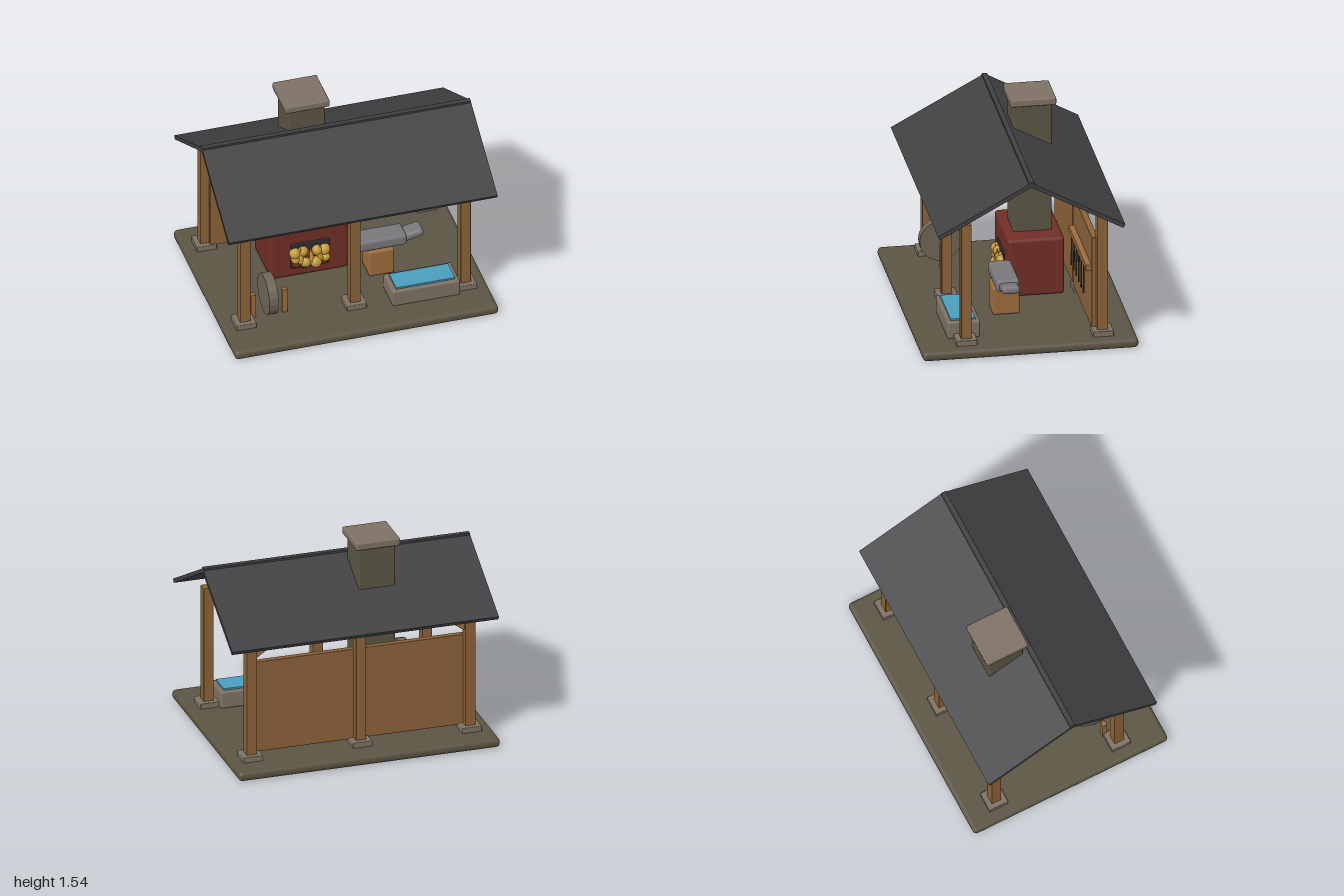
import * as THREE from 'three';
import { RoundedBoxGeometry } from 'three/addons/geometries/RoundedBoxGeometry.js';

const mat = (color, flatShading = false) => new THREE.MeshStandardMaterial({ color, flatShading });
const M = {
  slab: mat(0x5a5442), stone: mat(0x7d7163), wheel: mat(0x6e6456, true), wood: mat(0x8a6238),
  lightWood: mat(0x9c6b3c), roof: mat(0x404042), brick: mat(0x702e26), dark: mat(0x2c2a2a),
  steel: mat(0x77777b), iron: mat(0x3c3c40), water: mat(0x4a9dbd),
  ember: mat(0x7a2e1c), flame: mat(0xc49a3c),
};

export function createModel() {
  const model = new THREE.Group();

  const add = (name, geometry, material, x, y, z) => {
    const mesh = new THREE.Mesh(geometry, material);
    mesh.name = name;
    mesh.position.set(x, y, z);
    model.add(mesh);
    return mesh;
  };
  // Softened box given by its extents on each axis
  const box = (name, material, [x0, x1], [y0, y1], [z0, z1], r = 0.006) =>
    add(name, new RoundedBoxGeometry(x1 - x0, y1 - y0, z1 - z0, 2, r), material,
      (x0 + x1) / 2, (y0 + y1) / 2, (z0 + z1) / 2);

  // Ground slab
  box('floorSlab', M.slab, [-0.98, 0.98], [0, 0.07], [-0.78, 0.78], 0.03);

  // Posts with stone feet, and braces on the corner posts
  for (const z of [0.448, -0.538]) {
    for (const x of [-0.82, 0, 0.82]) {
      box('postFoot', M.stone, [x - 0.074, x + 0.074], [0, 0.11], [z - 0.075, z + 0.075]);
      box('post', M.wood, [x - 0.038, x + 0.038], [0.1, 0.99], [z - 0.038, z + 0.038], 0.003);
      if (x === 0) continue;
      const side = Math.sign(x);
      const brace = add('brace', new RoundedBoxGeometry(0.24, 0.04, 0.04, 2, 0.004),
        M.lightWood, side * 0.72, 0.915, z);
      brace.rotation.z = -side * 0.6;
    }
  }

  // Back wall panels
  for (const s of [-1, 1]) {
    const x = s * 0.41;
    box('backWall', M.wood, [x - 0.385, x + 0.385], [0.1, 0.8], [-0.515, -0.47], 0.004);
  }

  // Gable roof
  const slope = Math.atan2(0.365, 0.67);
  for (const s of [-1, 1]) {
    const slab = add('roofSlope', new THREE.BoxGeometry(2, 0.03, 0.763), M.roof, 0, 1.146, s * 0.335);
    slab.rotation.x = s * slope;
  }
  box('roofRidge', M.roof, [-1, 1], [1.312, 1.35], [-0.02, 0.02], 0.004);

  // Forge, chimney and cap
  box('forgeBody', M.brick, [-0.49, 0.088], [0.07, 0.51], [-0.395, 0.015], 0.025);
  box('chimney', M.slab, [-0.337, -0.065], [0.48, 1.488], [-0.327, -0.052], 0.012);
  box('chimneyCap', M.stone, [-0.367, -0.037], [1.485, 1.54], [-0.357, -0.027], 0.01);
  box('fireOpening', M.dark, [-0.342, -0.052], [0.14, 0.36], [-0.1, 0.022], 0.01);

  // Fire: embers, glowing coals and flame tips as [x, y, z, radius]
  const ember = new THREE.SphereGeometry(1, 14, 10);
  const ball = (name, material, [x, y, z, r]) => add(name, ember, material, x, y, z).scale.setScalar(r);
  for (const c of [[-0.3, 0.19, 0.02, 0.035], [-0.24, 0.175, 0.02, 0.035], [-0.22, 0.26, 0.02, 0.04],
    [-0.1, 0.19, 0.02, 0.038], [-0.16, 0.27, 0.02, 0.038], [-0.13, 0.175, 0.02, 0.033]]) ball('ember', M.ember, c);
  for (const c of [[-0.315, 0.285, 0.03, 0.042], [-0.255, 0.29, 0.025, 0.04], [-0.24, 0.21, 0.05, 0.04],
    [-0.165, 0.2, 0.055, 0.043], [-0.15, 0.285, 0.03, 0.04], [-0.095, 0.28, 0.03, 0.043],
    [-0.09, 0.22, 0.04, 0.035], [-0.31, 0.235, 0.035, 0.034]]) ball('coal', M.flame, c);
  for (const x of [-0.275, -0.2, -0.135])
    add('flameTip', new THREE.ConeGeometry(0.03, 0.12, 8), M.flame, x, 0.275, 0.045);

  // Anvil on its block
  box('anvilBlock', M.lightWood, [0.195, 0.385], [0.07, 0.282], [-0.02, 0.175], 0.015);
  box('anvilBody', M.steel, [0.097, 0.482], [0.285, 0.375], [-0.003, 0.165], 0.025);
  const horn = add('anvilHorn', new RoundedBoxGeometry(0.16, 0.06, 0.13, 3, 0.025), M.steel, 0.535, 0.338, 0.08);
  horn.rotation.z = 0.22;

  // Water trough
  box('trough', M.stone, [0.252, 0.755], [0.07, 0.2], [0.33, 0.567], 0.015);
  box('troughWater', M.water, [0.285, 0.725], [0.19, 0.213], [0.36, 0.54], 0.004);

  // Grindstone between two stands
  const wheel = add('grindstone', new THREE.CylinderGeometry(0.153, 0.153, 0.07, 18), M.wheel, -0.62, 0.25, 0.386);
  wheel.rotation.z = Math.PI / 2;
  for (const x of [-0.735, -0.5])
    box('grindstoneStand', M.lightWood, [x - 0.02, x + 0.02], [0.07, 0.267], [0.366, 0.406], 0.004);

  // Tool rail with hanging rods
  box('toolRail', M.lightWood, [0.045, 0.775], [0.536, 0.582], [-0.472, -0.428], 0.005);
  for (let i = 0; i < 6; i++) {
    const rod = add('hangingTool', new THREE.CylinderGeometry(0.006, 0.006, 0.23, 8), M.iron,
      0.145 + i * 0.102, 0.427, -0.435);
    rod.rotation.z = -0.08;
  }

  return model;
}
